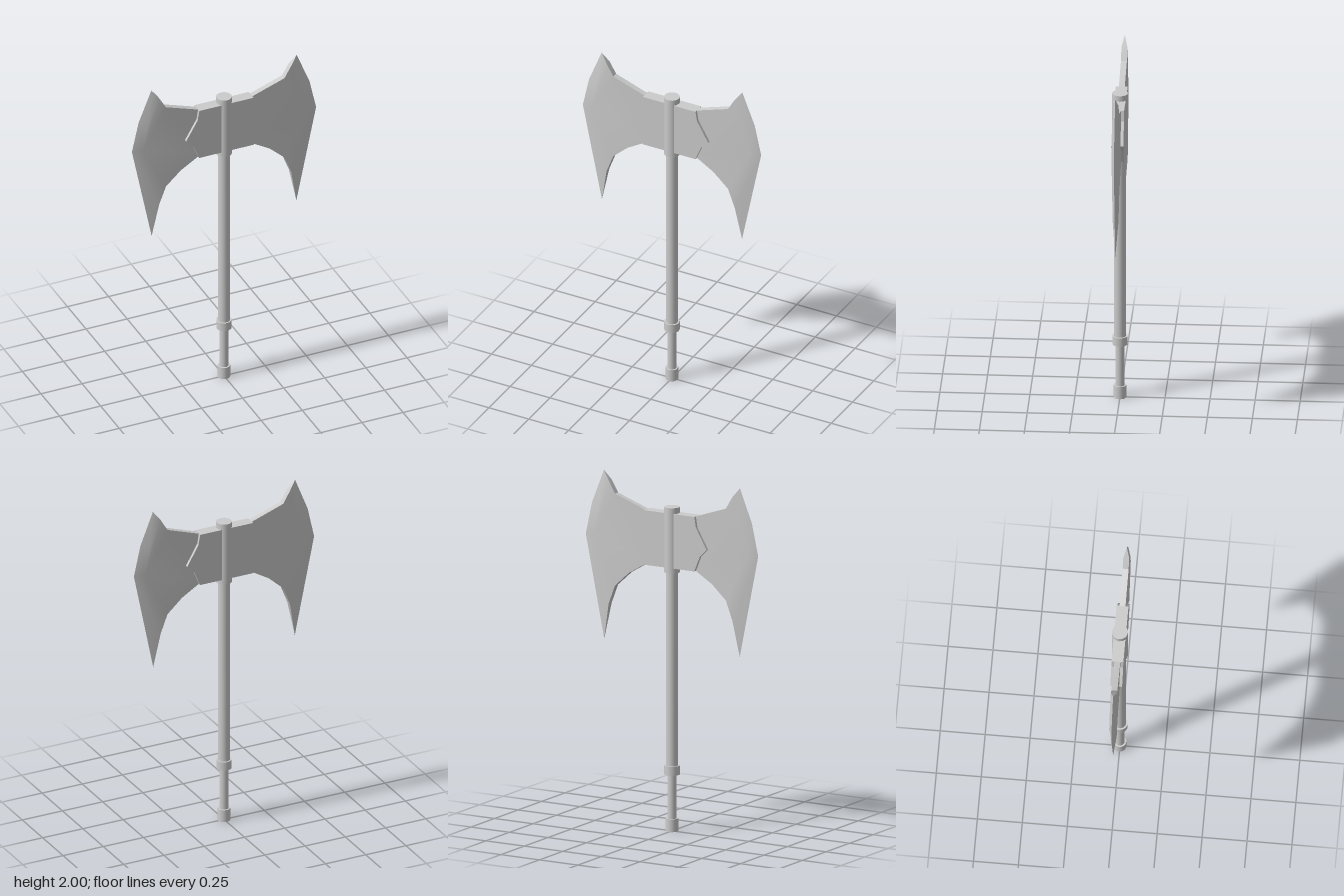
import * as THREE from 'three';
import { toCreasedNormals } from 'three/addons/utils/BufferGeometryUtils.js';

const material = new THREE.MeshStandardMaterial({ color: 0xcccccc });

function cylinder(name, radius, y0, y1) {
  const mesh = new THREE.Mesh(new THREE.CylinderGeometry(radius, radius, y1 - y0, 24), material);
  mesh.name = name;
  mesh.position.y = (y0 + y1) / 2;
  return mesh;
}

// Flat blade body whose outer side is ground down to a sharp cutting edge
function bladeGeometry() {
  const half = 0.0165;
  // cutting edge and the ridge where the grind starts, both bottom to top
  const edge = [[0.44, 1.04], [0.56, 1.625], [0.52, 1.805], [0.442, 2]];
  const ridge = [[0.402, 1.245], [0.5, 1.625], [0.47, 1.79], [0.4, 1.945]];
  const topRim = [[0.36, 1.877], [0.165, 1.81], [0.1, 1.8]];
  const lowerRim = [[0.1, 1.51], [0.165, 1.5], [0.27, 1.437], [0.36, 1.355]];
  const body = [...ridge, ...topRim, ...lowerRim];

  const positions = [];
  const tri = (a, b, c) => positions.push(...a, ...b, ...c);
  const at = (p, z) => [p[0], p[1], z];
  const faces = THREE.ShapeUtils.triangulateShape(body.map(p => new THREE.Vector2(...p)), []);

  for (const z of [half, -half]) {
    // same triangles on both sides, with the order reversed at the back
    const side = (a, b, c) => (z > 0 ? tri(a, b, c) : tri(a, c, b));
    for (const [a, b, c] of faces) side(at(body[a], z), at(body[b], z), at(body[c], z));
    for (let i = 0; i < 3; i++) {
      const r0 = at(ridge[i], z), r1 = at(ridge[i + 1], z);
      const e0 = at(edge[i], 0), e1 = at(edge[i + 1], 0);
      side(r0, e0, e1);
      side(r0, e1, r1);
    }
  }
  // rim walls behind the cutting edge
  for (let i = 3; i < body.length; i++) {
    const p = body[i], q = body[(i + 1) % body.length];
    tri(at(p, half), at(p, -half), at(q, -half));
    tri(at(p, half), at(q, -half), at(q, half));
  }
  // pointed walls at the two tips
  tri(at(ridge[3], half), at(edge[3], 0), at(ridge[3], -half));
  tri(at(ridge[0], half), at(ridge[0], -half), at(edge[0], 0));

  const geometry = new THREE.BufferGeometry();
  geometry.setAttribute('position', new THREE.Float32BufferAttribute(positions, 3));
  return toCreasedNormals(geometry, 0.6);
}

// Thick plate clasping both blades
function cheekPlate() {
  const right = [[0.165, 1.5], [0.2, 1.585], [0.245, 1.63], [0.175, 1.75], [0.165, 1.81]];
  const left = right.map(([x, y]) => [-x, y]).reverse();
  const shape = new THREE.Shape([...right, ...left].map(p => new THREE.Vector2(...p)));
  const geometry = new THREE.ExtrudeGeometry(shape, { depth: 0.066, bevelEnabled: false });
  geometry.translate(0, 0, -0.033);
  const mesh = new THREE.Mesh(geometry, material);
  mesh.name = 'cheekPlate';
  return mesh;
}

export function createModel() {
  const axe = new THREE.Group();
  axe.name = 'doubleAxe';

  // haft from bottom to top
  axe.add(
    cylinder('pommel', 0.035, 0, 0.073),
    cylinder('grip', 0.026, 0.073, 0.322),
    cylinder('gripCollar', 0.043, 0.322, 0.373),
    cylinder('shaft', 0.034, 0.373, 1.472),
    cylinder('headSocket', 0.044, 1.472, 1.843),
    cheekPlate()
  );

  // two matching blades
  const geometry = bladeGeometry();
  for (const [name, turn] of [['leftBlade', 0], ['rightBlade', Math.PI]]) {
    const blade = new THREE.Mesh(geometry, material);
    blade.name = name;
    blade.rotation.y = turn;
    axe.add(blade);
  }
  return axe;
}
